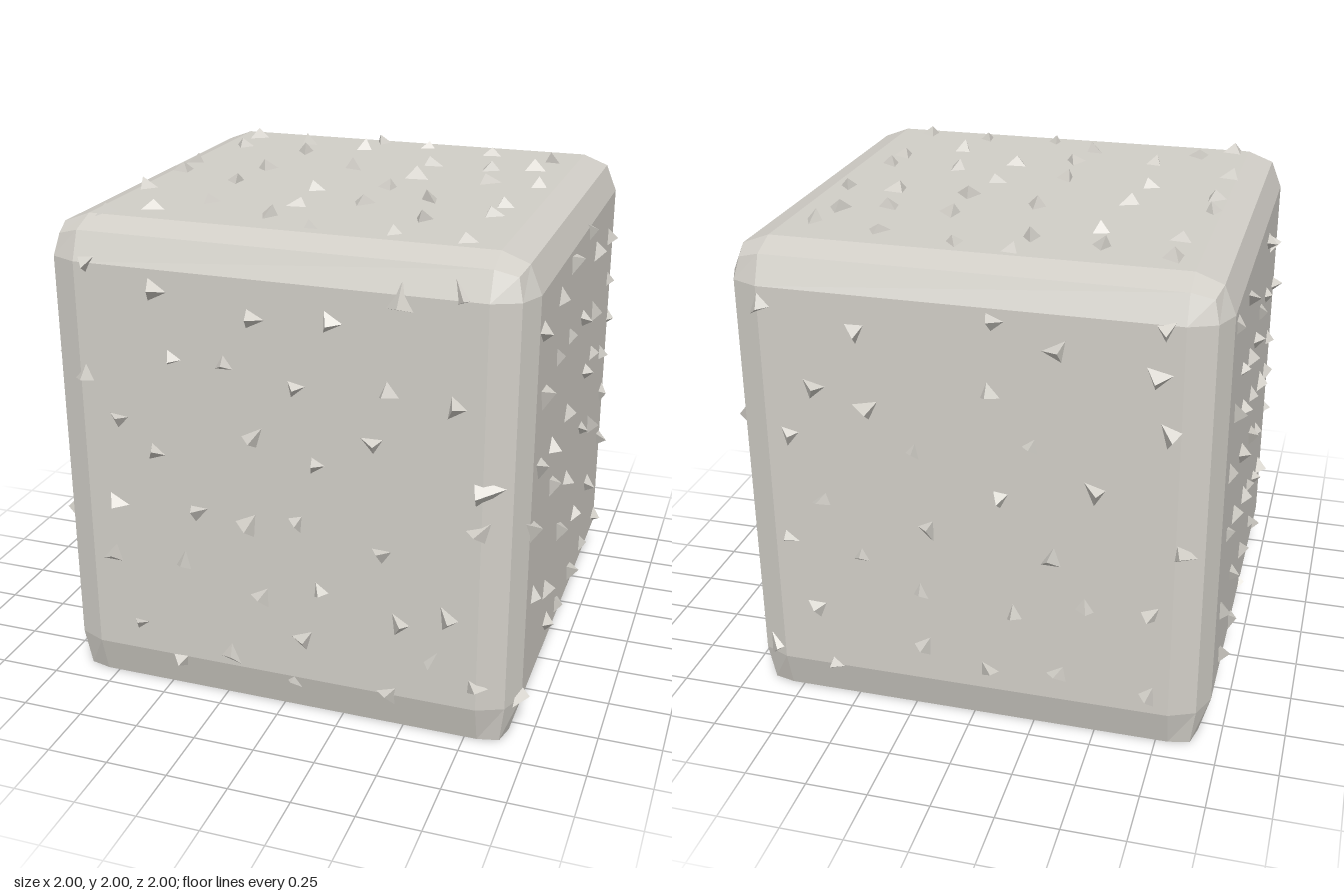
import * as THREE from 'three';
import { mergeGeometries } from 'three/addons/utils/BufferGeometryUtils.js';

const stone = new THREE.MeshStandardMaterial({ color: 0xd1cec7, flatShading: true });
stone.name = 'stone grey';

// Spike positions on each face, as pairs across and up (seen facing that face)
const FRONT = [
  -.75, 1.8, -.47, 1.72, -.08, 1.65, .22, 1.67, .48, 1.77, .7, 1.81, -.41, 1.46, -.2, 1.46,
  .08, 1.4, .44, 1.43, .69, 1.4, -.78, 1.35, -.65, 1.18, -.5, 1.06, -.09, 1.18, .16, 1.1,
  .38, 1.22, .8, 1.08, .79, .92, -.68, .82, -.33, .83, -.12, .81, .08, .85, .42, .77,
  -.71, .58, -.4, .6, -.07, .5, .17, .57, .49, .48, .68, .54, -.61, .28, -.21, .21,
  .1, .34, .63, .34, .79, .26, -.43, .15, .06, .14, .45, .16];
const RIGHT = [
  -.75, 1.65, -.19, 1.75, .17, 1.78, -.42, 1.67, .36, 1.64, .68, 1.62, -.68, 1.38, -.42, 1.44,
  -.18, 1.45, .09, 1.43, .37, 1.38, .73, 1.41, -.7, 1.1, -.46, 1.09, -.15, 1.1, .23, 1.14,
  .38, 1.17, .64, 1.09, .81, 1.2, -.78, .88, -.43, .91, -.1, .78, .21, .89, .44, .82,
  .73, .86, .74, .63, -.68, .55, -.2, .6, .17, .49, .47, .51, -.43, .44, -.39, .26,
  -.16, .23, .12, .24, .41, .23, .75, .21, -.81, .17];
const BACK = [
  -.79, 1.73, -.42, 1.66, .11, 1.75, .34, 1.66, .73, 1.78, -.6, 1.41, -.39, 1.35, .09, 1.47,
  .71, 1.6, -.21, 1.19, -.71, 1.2, .25, 1.27, .76, 1.38, -.59, .93, .13, 1.04, .49, 1.11,
  -.74, .74, -.16, .86, -.44, .7, .33, .8, .82, .89, -.64, .43, -.2, .57, .18, .53,
  .46, .61, .72, .62, -.84, .2, -.58, .16, -.19, .32, .07, .25, .36, .28, .72, .24];
const LEFT = [
  -.72, 1.74, -.32, 1.69, .19, 1.44, .42, 1.42, .35, 1.69, .52, 1.62, -.17, 1.38, -.43, 1.43,
  .04, 1.36, .65, 1.13, -.6, 1.34, -.33, 1.22, .01, 1.13, .37, 1.02, .63, .97, .83, .7,
  -.65, 1.1, -.27, .99, .38, .8, -.6, .81, -.39, .78, -.02, .67, .16, .62, .42, .52,
  .63, .47, -.66, .5, -.35, .48, .01, .38, .38, .32, .66, .15, -.6, .25, -.27, .2,
  .09, .16, .75, 1.35, .1, .9];
const TOP = [
  -.71, .69, -.43, .63, -.12, .75, .1, .72, -.16, .6, .42, .66, .7, .61, -.7, .48,
  -.39, .45, .22, .39, .47, .37, .66, .44, -.08, .22, -.77, .12, -.43, .09, .22, .14,
  .52, .15, .73, .15, -.75, -.05, -.47, -.16, -.11, -.18, .16, -.07, .38, -.21, .67, -.21,
  -.77, -.37, -.43, -.5, -.09, -.44, .14, -.34, .43, -.5, .66, -.35, -.6, -.66, -.14, -.63,
  .07, -.73, .38, -.71, .66, -.73, -.74, -.77];

// Seeded generator for spike size and turn
let seed = 7;
function rand(min, max) {
  seed = (seed * 16807) % 2147483647;
  return min + (max - min) * (seed / 2147483647);
}

// Bevelled block: a 3 x 3 x 3 grid whose edges and corners are pulled in
function blockGeometry() {
  const geometry = new THREE.BoxGeometry(3, 3, 3, 3, 3, 3);
  const p = geometry.attributes.position;
  const side = [0, .95, .905, .885];
  const top = [0, 1.95, 1.91, 1.885];
  for (let i = 0; i < p.count; i++) {
    const c = [p.getX(i), p.getY(i), p.getZ(i)];
    const outer = c.map((v) => Math.abs(v) > 1);
    const n = outer.filter(Boolean).length;
    const across = (k) => Math.sign(c[k]) * (outer[k] ? side[n] : .8);
    const y = outer[1] ? (c[1] > 0 ? top[n] : 0) : (c[1] > 0 ? 1.8 : .16);
    p.setXYZ(i, across(0), y, across(2));
  }
  const flat = geometry.toNonIndexed();
  flat.computeVertexNormals();
  return flat;
}

// Three-sided spike pointing along +z, with a skewed base and a leaning tip
function spikeGeometry(x, y, z) {
  const radius = rand(.052, .074);
  const height = rand(.045, .064);
  const cone = new THREE.ConeGeometry(radius, height, 3, 1, true);
  cone.translate(0, height / 2 - .015, 0).rotateX(Math.PI / 2);
  const lean = new THREE.Matrix4().set(
    1, rand(-.3, .3), rand(-.4, .4), 0,
    0, rand(.75, 1.1), rand(-.4, .4), 0,
    0, 0, 1, 0,
    0, 0, 0, 1);
  cone.applyMatrix4(lean).rotateZ(rand(0, Math.PI * 2)).translate(x, y, z);
  const flat = cone.toNonIndexed();
  flat.computeVertexNormals();
  return flat;
}

// All spikes of one face; they sink with the bevel near its border
function spikes(name, points, middle) {
  const parts = [];
  for (let i = 0; i < points.length; i += 2) {
    const reach = Math.max(Math.abs(points[i]), Math.abs(points[i + 1] - middle));
    const drop = .4 * Math.max(0, reach - .8);
    parts.push(spikeGeometry(points[i], points[i + 1], .95 - drop));
  }
  const mesh = new THREE.Mesh(mergeGeometries(parts), stone);
  mesh.name = name;
  return mesh;
}

export function createModel() {
  const model = new THREE.Group();
  model.name = 'spikedStoneBlock';

  const block = new THREE.Mesh(blockGeometry(), stone);
  block.name = 'block';
  model.add(block);

  // Four upright faces
  const walls = { frontSpikes: FRONT, rightSideSpikes: RIGHT, backSpikes: BACK, leftSideSpikes: LEFT };
  Object.entries(walls).forEach(([name, points], i) => {
    const mesh = spikes(name, points, .98);
    mesh.rotation.y = i * Math.PI / 2;
    model.add(mesh);
  });

  // Top face
  const topSpikes = spikes('topSpikes', TOP, 0);
  topSpikes.rotation.x = -Math.PI / 2;
  topSpikes.position.y = 1;
  model.add(topSpikes);

  return model;
}
